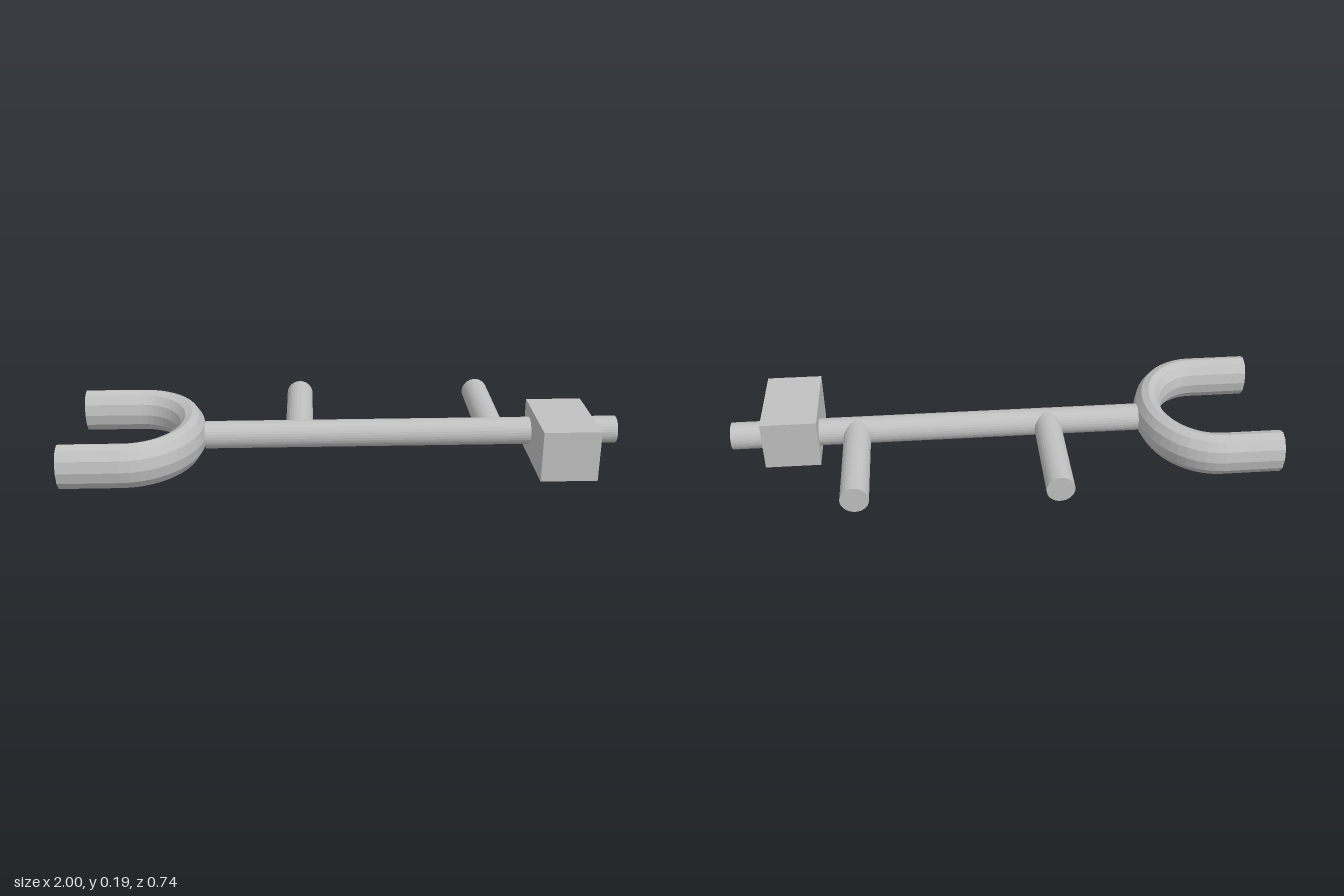
import * as THREE from 'three';

const grey = new THREE.MeshStandardMaterial({ color: 0xc0c0c0, flatShading: true });
grey.name = 'plain grey';

const AXIS_Y = 0.094, AXIS_Z = 0.049, ROD = 0.0505;

function add(group, name, geometry, x, y, z) {
  const mesh = new THREE.Mesh(geometry, grey);
  mesh.name = name;
  mesh.position.set(x, y, z);
  group.add(mesh);
  return mesh;
}

// U-shaped bar of oval section: straight leg, squashed half turn, straight leg
function forkGeometry() {
  const SIDES = 12, ARC = 24, R = 0.261, HALF_W = 0.0615, HALF_H = 0.081;
  const START = -1, BEND = -0.784, SQUASH = 0.83;
  const sections = [{ x: START, t: 0 }];
  for (let i = 0; i <= ARC; i++) sections.push({ x: BEND, t: (i / ARC) * Math.PI });
  sections.push({ x: START, t: Math.PI });

  const pos = [], index = [];
  for (const s of sections) {
    for (let j = 0; j < SIDES; j++) {
      const a = (j / SIDES) * Math.PI * 2;
      const r = R + HALF_W * Math.cos(a);
      pos.push(s.x + r * Math.sin(s.t) * SQUASH, HALF_H * Math.sin(a), -r * Math.cos(s.t));
    }
  }
  const last = sections.length - 1;
  const at = (i, j) => i * SIDES + (j % SIDES);
  for (let i = 0; i < last; i++) {
    for (let j = 0; j < SIDES; j++) {
      index.push(at(i, j), at(i, j + 1), at(i + 1, j));
      index.push(at(i + 1, j), at(i, j + 1), at(i + 1, j + 1));
    }
  }
  // end caps
  const c = pos.length / 3;
  pos.push(START, 0, -R, START, 0, R);
  for (let j = 0; j < SIDES; j++) {
    index.push(c, at(0, j + 1), at(0, j));
    index.push(c + 1, at(last, j), at(last, j + 1));
  }
  const g = new THREE.BufferGeometry();
  g.setAttribute('position', new THREE.Float32BufferAttribute(pos, 3));
  g.setIndex(index);
  const flat = g.toNonIndexed();
  flat.computeVertexNormals();
  return flat;
}

export function createModel() {
  const model = new THREE.Group();
  model.name = 'forkedRod';

  add(model, 'fork', forkGeometry(), 0, AXIS_Y, AXIS_Z);

  // main shaft along x
  const x0 = -0.52, x1 = 1;
  const shaft = new THREE.CylinderGeometry(ROD, ROD, x1 - x0, 32).rotateZ(Math.PI / 2);
  add(model, 'shaft', shaft, (x0 + x1) / 2, AXIS_Y, AXIS_Z);

  // two handles pointing back
  const z0 = -0.372, z1 = 0.04;
  for (const [name, x] of [['handleRight', -0.175], ['handleLeft', 0.537]]) {
    const handle = new THREE.CylinderGeometry(ROD, ROD, z1 - z0, 32).rotateX(Math.PI / 2);
    add(model, name, handle, x, AXIS_Y, (z0 + z1) / 2);
  }

  // block threaded on the shaft near its end
  add(model, 'block', new THREE.BoxGeometry(0.204, 0.187, 0.325), 0.78, 0.0935, 0.131);

  return model;
}
